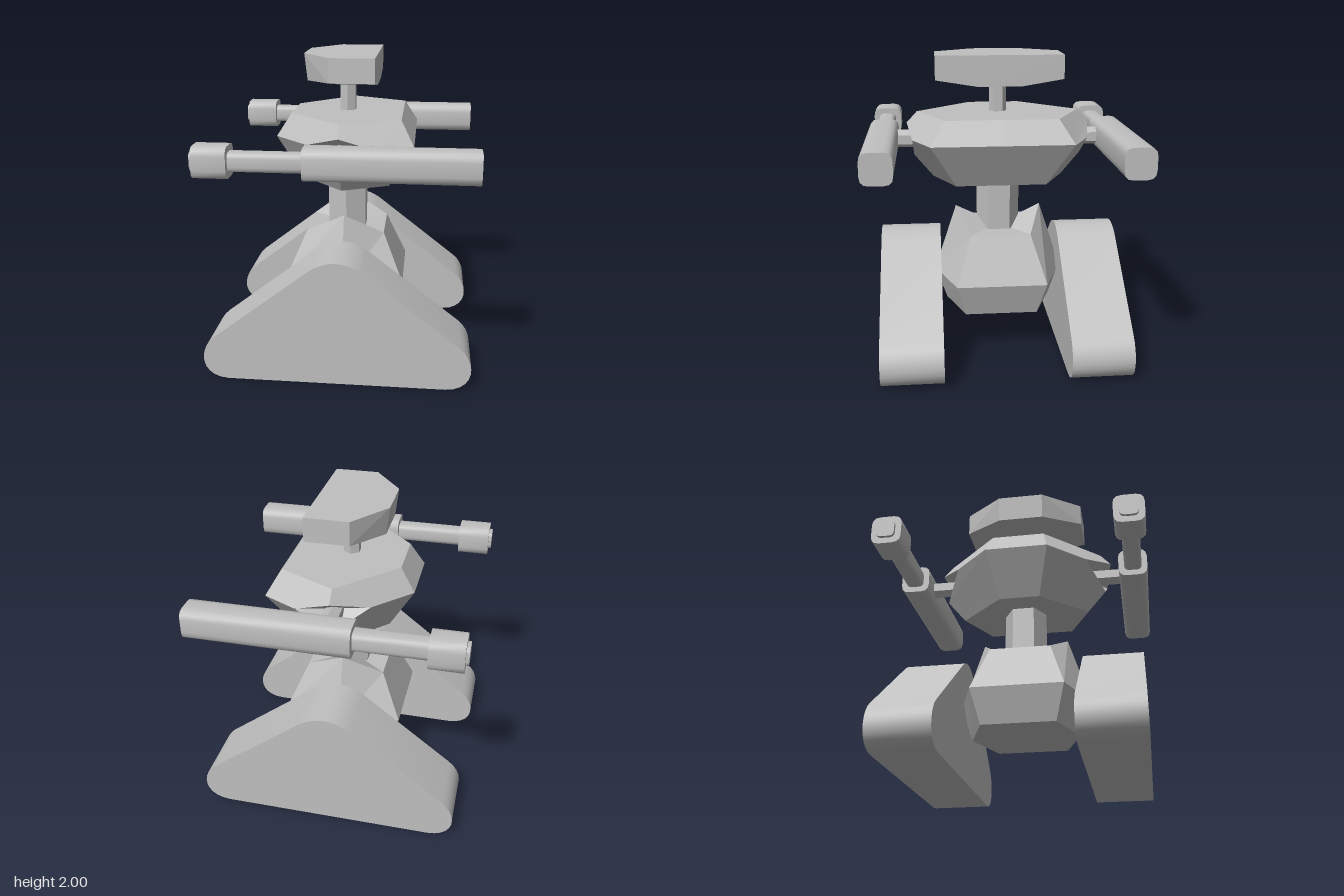
import * as THREE from 'three';
import { toCreasedNormals } from 'three/addons/utils/BufferGeometryUtils.js';
import { ConvexGeometry } from 'three/addons/geometries/ConvexGeometry.js';

// Flat-faced solid from named corners of its z >= 0 half, mirrored to z < 0
function mirroredSolid(corners, faces) {
  const pos = [];
  for (const face of faces) {
    const loop = face.split(' ').map((n) => corners[n]);
    const mirrored = loop.map(([x, y, z]) => [x, y, -z]).reverse();
    for (const p of [loop, mirrored]) {
      for (let i = 1; i < p.length - 1; i++) pos.push(...p[0], ...p[i], ...p[i + 1]);
    }
  }
  const g = new THREE.BufferGeometry();
  g.setAttribute('position', new THREE.Float32BufferAttribute(pos, 3));
  g.computeVertexNormals();
  return g;
}

// Bar along x with a rounded square section
function roundedBar(x0, x1, half, r) {
  const s = new THREE.Shape();
  const a = half, b = half - r;
  s.moveTo(-b, -a);
  s.lineTo(b, -a);
  s.quadraticCurveTo(a, -a, a, -b);
  s.lineTo(a, b);
  s.quadraticCurveTo(a, a, b, a);
  s.lineTo(-b, a);
  s.quadraticCurveTo(-a, a, -a, b);
  s.lineTo(-a, -b);
  s.quadraticCurveTo(-a, -a, -b, -a);
  const g = new THREE.ExtrudeGeometry(s, { depth: x1 - x0, bevelEnabled: false, curveSegments: 3 });
  g.rotateY(Math.PI / 2).translate(x0, 0, 0);
  return toCreasedNormals(g, 0.6);
}

// Rounded triangular track profile
function trackGeometry() {
  const s = new THREE.Shape();
  s.moveTo(-0.69, 0);
  s.lineTo(0.69, 0);
  s.bezierCurveTo(0.88, 0.005, 0.885, 0.2, 0.77, 0.288);
  s.lineTo(0.16, 0.762);
  s.quadraticCurveTo(0, 0.868, -0.16, 0.762);
  s.lineTo(-0.77, 0.288);
  s.bezierCurveTo(-0.885, 0.2, -0.88, 0.005, -0.69, 0);
  const g = new THREE.ExtrudeGeometry(s, { depth: 0.4, bevelEnabled: false, curveSegments: 10 });
  return toCreasedNormals(g.translate(0, 0, -0.2), 0.6);
}

function hexColumn(radius, y0, y1) {
  const g = new THREE.CylinderGeometry(radius, radius, y1 - y0, 6).toNonIndexed();
  g.computeVertexNormals();
  return g.translate(0, (y0 + y1) / 2, 0);
}

export function createModel() {
  const model = new THREE.Group();
  model.name = 'trackedRobot';
  const grey = new THREE.MeshStandardMaterial({ color: 0xc0c0c0 });
  grey.name = 'light grey';
  const add = (name, geometry, parent = model) => {
    const m = new THREE.Mesh(geometry, grey);
    m.name = name;
    parent.add(m);
    return m;
  };

  // Hips: faceted block with raised side peaks and a sunken top
  add('hips', mirroredSolid({
    C: [0, 0.815, 0], TR: [0.26, 0.815, 0], TL: [-0.26, 0.815, 0],
    T0: [0.26, 0.815, 0.2], T1: [0, 0.955, 0.29], T2: [-0.26, 0.815, 0.2],
    MR: [0.395, 0.5, 0], ML: [-0.395, 0.5, 0],
    M0: [0.395, 0.5, 0.3], M1: [0, 0.5, 0.44], M2: [-0.395, 0.5, 0.3],
    BR: [0.32, 0.275, 0], BL: [-0.32, 0.275, 0],
    B0: [0.32, 0.275, 0.24], B1: [0, 0.275, 0.36], B2: [-0.32, 0.275, 0.24],
  }, [
    'C T1 T0', 'C T2 T1', 'C T0 TR', 'C TL T2',
    'T0 T1 M1 M0', 'T1 T2 M2 M1', 'T0 M0 MR TR', 'T2 TL ML M2',
    'M0 M1 B1 B0', 'M1 M2 B2 B1', 'M0 B0 BR MR', 'M2 ML BL B2',
    'B0 B1 B2 BL BR',
  ]));

  add('waist', hexColumn(0.145, 0.7, 1.2));

  // Torso: faceted block with a diamond shoulder socket in each side
  add('torso', mirroredSolid({
    TR: [0.37, 1.615, 0], TL: [-0.355, 1.615, 0],
    T0: [0.37, 1.615, 0.36], T1: [0, 1.615, 0.54], T2: [-0.355, 1.615, 0.175],
    MR: [0.455, 1.465, 0], ML: [-0.45, 1.465, 0],
    M0: [0.455, 1.465, 0.455], M2: [-0.45, 1.465, 0.21],
    A: [0.23, 1.465, 0.57], P: [0, 1.54, 0.61], B: [-0.22, 1.465, 0.45], D: [0, 1.32, 0.565],
    S: [0, 1.43, 0.45],
    BR: [0.295, 1.17, 0], BL: [-0.285, 1.17, 0],
    B0: [0.295, 1.17, 0.295], B1: [0, 1.17, 0.44], B2: [-0.285, 1.17, 0.135],
  }, [
    'T0 TR TL T2 T1',
    'T0 T1 P A M0', 'T1 T2 M2 B P', 'T0 M0 MR TR', 'T2 TL ML M2',
    'S P B', 'S B D', 'S D A', 'S A P',
    'M0 A D B1 B0', 'B M2 B2 B1 D', 'M0 B0 BR MR', 'M2 ML BL B2',
    'B0 B1 B2 BL BR',
  ]));

  add('neck', hexColumn(0.058, 1.58, 1.84));

  // Head: tapered wedge with a shallow keel underneath
  const headPoints = [];
  for (const s of [1, -1]) {
    for (const [x, y, z] of [
      [0.205, 2, 0.415], [-0.08, 2, 0.415], [-0.27, 2, 0.155],
      [0.205, 1.845, 0.415], [-0.08, 1.845, 0.415], [-0.25, 1.825, 0.155],
      [0.205, 1.8, 0.14], [-0.08, 1.8, 0.14],
    ]) headPoints.push(new THREE.Vector3(x, y, z * s));
  }
  add('head', new ConvexGeometry(headPoints));

  // Tracks, arms and guns on both sides
  for (const [side, s] of [['left', 1], ['right', -1]]) {
    add(side + 'Track', trackGeometry()).position.z = 0.6 * s;

    const arm = add(side + 'Arm', hexColumn(0.06, 0, 0.36).rotateX(Math.PI / 2).rotateZ(Math.PI));
    arm.position.set(0, 1.432, s > 0 ? 0.36 : -0.72);

    const gun = new THREE.Group();
    gun.name = side + 'Gun';
    gun.position.set(0, 1.432, 0.767 * s);
    model.add(gun);
    add('gunBody', roundedBar(-0.185, 0.85, 0.098, 0.055), gun);
    add('gunBarrel', roundedBar(-0.64, -0.18, 0.059, 0.033), gun);
    add('gunMuzzle', roundedBar(-0.84, -0.63, 0.098, 0.055), gun);
    add('gunTip', roundedBar(-0.86, -0.83, 0.059, 0.033), gun);
  }
  return model;
}
